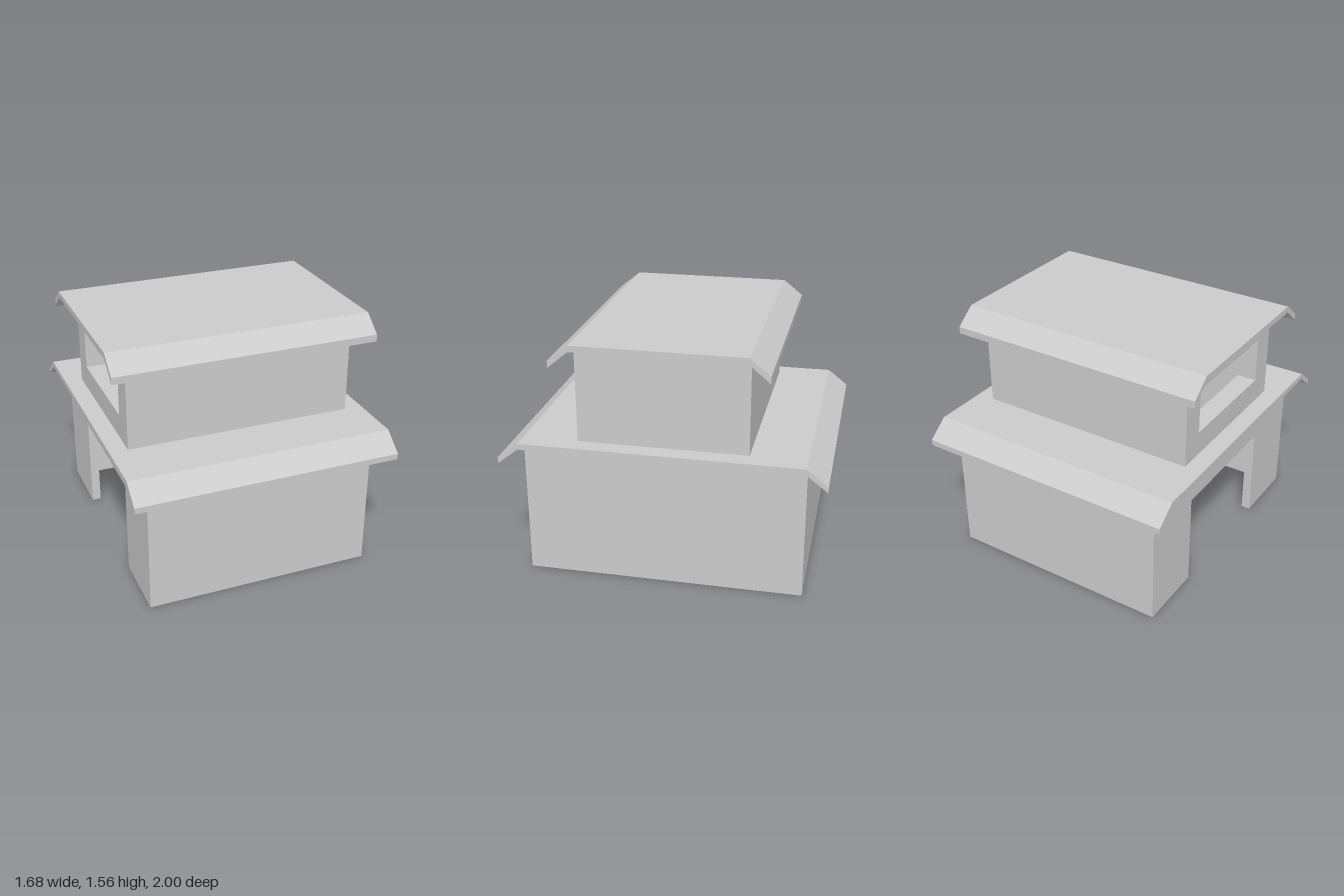
import * as THREE from 'three';

const material = new THREE.MeshStandardMaterial({ color: 0xcccccc, flatShading: true });
const HALF_X = 0.725, ROOF_X = 0.84, WALL = 0.058;

function add(group, name, geometry) {
  const mesh = new THREE.Mesh(geometry, material);
  mesh.name = name;
  group.add(mesh);
  return mesh;
}

function rect(Type, x0, y0, x1, y1) {
  return new Type([[x0, y0], [x1, y0], [x1, y1], [x0, y1]].map(p => new THREE.Vector2(...p)));
}

// Extrudes a (z, y) outline along x, from x0 to x1
function alongX(shape, x0, x1) {
  const g = new THREE.ExtrudeGeometry(shape, { depth: x1 - x0, bevelEnabled: false });
  return g.rotateY(-Math.PI / 2).translate(x1, 0, 0);
}

// Horizontal slab with an optional rectangular hole [halfX, halfZ]
function slab(hx, hz, y0, y1, hole) {
  const s = rect(THREE.Shape, -hx, -hz, hx, hz);
  if (hole) s.holes.push(rect(THREE.Path, -hole[0], -hole[1], hole[0], hole[1]));
  const g = new THREE.ExtrudeGeometry(s, { depth: y1 - y0, bevelEnabled: false });
  return g.rotateX(-Math.PI / 2).translate(0, y0, 0);
}

// Four walls; the -x side carries the opening
function walls(name, hz, y0, y1, sideThickness, openSide) {
  const g = new THREE.Group();
  g.name = name;
  const h = y1 - y0, inner = hz - WALL;
  for (const [n, s] of [['frontWall', 1], ['backWall', -1]]) {
    add(g, n, new THREE.BoxGeometry(HALF_X * 2, h, WALL))
      .position.set(0, (y0 + y1) / 2, s * (hz - WALL / 2));
  }
  add(g, 'closedSideWall', alongX(rect(THREE.Shape, -inner, y0, inner, y1), HALF_X - sideThickness, HALF_X));
  add(g, 'openSideWall', alongX(openSide(inner), -HALF_X, -HALF_X + sideThickness));
  return g;
}

// Flat roof with a drooping eave at the front and back
function roof(name, hz, tipZ, y0, y1, tip0, tip1, hole) {
  const g = new THREE.Group();
  g.name = name;
  add(g, 'roofDeck', slab(ROOF_X, hz, y0, y1, hole));
  for (const [n, s] of [['frontEave', 1], ['backEave', -1]]) {
    const outline = [[hz, y0], [tipZ, tip0], [tipZ, tip1], [hz, y1]]
      .map(([z, y]) => new THREE.Vector2(s * z, y));
    add(g, n, alongX(new THREE.Shape(outline), -ROOF_X, ROOF_X));
  }
  return g;
}

export function createModel() {
  const model = new THREE.Group();
  model.name = 'twoStoreyBuilding';
  const stairwell = [0.6, 0.467];

  // Lower storey with a tall doorway
  model.add(walls('lowerStorey', 0.87, 0, 0.877, WALL, inner => {
    const pts = [[-inner, 0], [-0.43, 0], [-0.43, 0.61], [0.43, 0.61], [0.43, 0],
      [inner, 0], [inner, 0.877], [-inner, 0.877]];
    return new THREE.Shape(pts.map(p => new THREE.Vector2(...p)));
  }));

  // Thick ceiling, open to the storey above
  add(model, 'lowerCeiling', slab(HALF_X - WALL, 0.87 - WALL, 0.7, 0.877, stairwell));
  model.add(roof('lowerRoof', 0.87, 1, 0.877, 0.915, 0.775, 0.813, stairwell));

  // Upper storey with a wide window
  model.add(walls('upperStorey', 0.525, 0.915, 1.52, 0.125, inner => {
    const s = rect(THREE.Shape, -inner, 0.915, inner, 1.52);
    s.holes.push(rect(THREE.Path, -0.37, 1.07, 0.37, 1.36));
    return s;
  }));
  add(model, 'upperCeiling', slab(0.6, 0.467, 1.42, 1.52));
  model.add(roof('upperRoof', 0.525, 0.65, 1.52, 1.56, 1.415, 1.46));

  return model;
}
